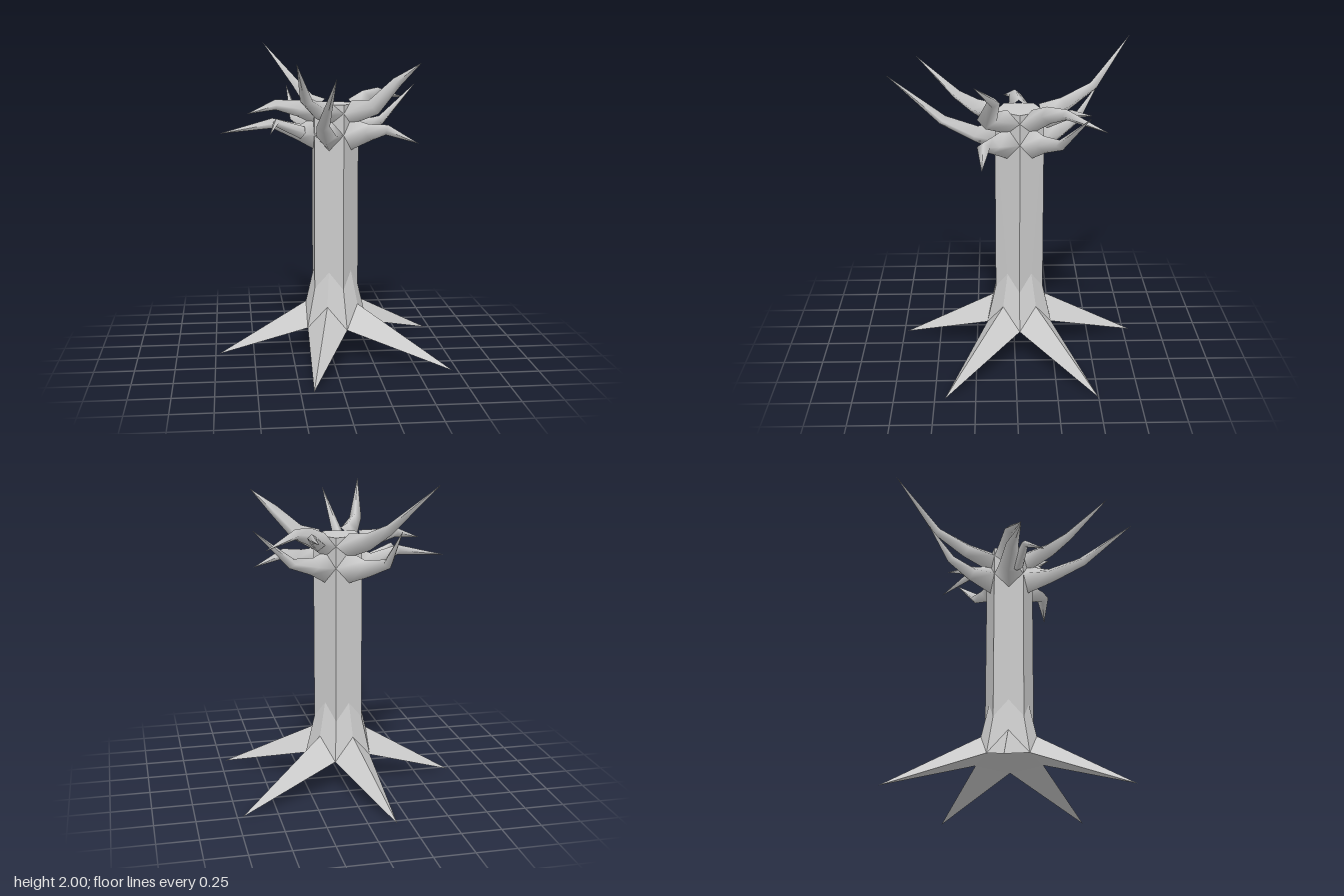
import * as THREE from 'three';

const CX = 0.02, CZ = -0.03;           // trunk axis
const FACE = Math.PI * 2 / 5;
const polar = (a, r, y) => new THREE.Vector3(CX + r * Math.cos(a), y, CZ + r * Math.sin(a));
const material = new THREE.MeshStandardMaterial({ color: 0xcccccc });
const flatMaterial = new THREE.MeshStandardMaterial({ color: 0xcccccc, flatShading: true });

// flat-shaded mesh from a list of triangles
function facets(name, tris) {
  const geo = new THREE.BufferGeometry().setFromPoints(tris.flat());
  geo.computeVertexNormals();
  const mesh = new THREE.Mesh(geo, flatMaterial);
  mesh.name = name;
  return mesh;
}

// tapering four-sided limb through rings of {p, side, up}; the last ring shrinks to a point
function limb(name, rings) {
  const pos = [], index = [];
  for (const { p, side, up } of rings) {
    for (let k = 0; k < 4; k++) {
      const a = k * Math.PI / 2;
      const v = p.clone().addScaledVector(side, Math.cos(a)).addScaledVector(up, Math.sin(a));
      pos.push(v.x, v.y, v.z);
    }
  }
  for (let i = 0; i < rings.length - 1; i++) {
    for (let k = 0; k < 4; k++) {
      const a = i * 4 + k, b = i * 4 + (k + 1) % 4;
      index.push(a, a + 4, b + 4, a, b + 4, b);
    }
  }
  const geo = new THREE.BufferGeometry();
  geo.setAttribute('position', new THREE.Float32BufferAttribute(pos, 3));
  geo.setIndex(index);
  geo.computeVertexNormals();
  const mesh = new THREE.Mesh(geo, material);
  mesh.name = name;
  return mesh;
}

// ring across direction d with half width w and half height h
function ring(p, d, w, h) {
  const dir = d.clone().normalize();
  const side = new THREE.Vector3().crossVectors(dir, new THREE.Vector3(0, 1, 0)).normalize();
  const up = new THREE.Vector3().crossVectors(side, dir);
  return { p, side: side.multiplyScalar(w), up: up.multiplyScalar(h) };
}

// limb along a path, with half sizes [w, h] at each point
function limbAlong(name, path, sizes, startDir) {
  return limb(name, path.map((p, i) => {
    const d = i === 0 && startDir ? startDir
      : path[Math.min(i + 1, path.length - 1)].clone().sub(path[Math.max(i - 1, 0)]);
    return ring(p, d, ...sizes[i]);
  }));
}

// branch that grows out of a whole trunk face
function branch(name, face, y, h, pts) {
  const a = (face + 0.5) * FACE;
  const path = [polar(a, 0.127, y), ...pts.map(p => new THREE.Vector3(...p))];
  return limbAlong(name, path, [[0.094, h], [0.062, 0.052], [0.04, 0.032], [0.001, 0.001]],
    new THREE.Vector3(Math.cos(a), 0, Math.sin(a)));
}

export function createModel() {
  const tree = new THREE.Group();
  tree.name = 'bareTree';

  // five-sided trunk flaring into pointed roots, one per face
  const tips = [[0.72, 0.44], [-0.17, 0.73], [-0.73, -0.035], [-0.17, -0.795], [0.72, -0.5]];
  const trunk = [], roots = [];
  tips.forEach(([x, z], i) => {
    const a0 = i * FACE, a1 = a0 + FACE, mid = a0 + FACE / 2;
    const top0 = polar(a0, 0.16, 1.63), top1 = polar(a1, 0.16, 1.63);
    const low0 = polar(a0, 0.16, 0.45), low1 = polar(a1, 0.16, 0.45);
    const valley0 = polar(a0, 0.22, 0.2), valley1 = polar(a1, 0.22, 0.2);
    const apex = polar(mid, 0.13, 0.56), ridge = polar(mid, 0.18, 0.345);
    const tip = new THREE.Vector3(x, 0, z);
    trunk.push(
      [apex, low0, top0], [apex, top0, top1], [apex, top1, low1],
      [polar(0, 0, 1.63), top1, top0]);
    roots.push(
      [valley0, low0, apex], [valley0, apex, ridge],
      [ridge, apex, low1], [ridge, low1, valley1],
      [tip, valley0, ridge], [tip, ridge, valley1],
      [tip, valley1, valley0], [polar(0, 0, 0.2), valley0, valley1]);
  });
  tree.add(facets('trunk', trunk), facets('roots', roots));

  // two tiers of branches: face 0 front left, then front, right, back right, back left
  const upper = [
    [[0.25, 1.62, 0.17], [0.40, 1.77, 0.13], [0.53, 1.89, 0.24]],
    [[-0.11, 1.61, 0.24], [-0.18, 1.67, 0.36], [-0.255, 1.9, 0.615]],
    [[-0.2, 1.6, -0.03], [-0.35, 1.625, -0.01], [-0.525, 1.575, 0.06]],
    [[-0.1, 1.62, -0.31], [-0.18, 1.72, -0.5], [-0.4, 2.0, -0.75]],
    [[0.24, 1.65, -0.2], [0.34, 1.68, -0.3], [0.55, 1.63, -0.525]],
  ];
  const lower = [
    [[0.23, 1.46, 0.14], [0.33, 1.48, 0.19], [0.525, 1.395, 0.2]],
    [[-0.05, 1.45, 0.24], [-0.09, 1.53, 0.45], [-0.045, 1.825, 0.785]],
    [[-0.2, 1.45, -0.03], [-0.37, 1.51, 0.0], [-0.695, 1.455, 0.06]],
    [[-0.1, 1.45, -0.28], [-0.2, 1.5, -0.4], [-0.25, 1.715, -0.54]],
    [[0.22, 1.46, -0.18], [0.36, 1.5, -0.27], [0.61, 1.73, -0.42]],
  ];
  upper.forEach((pts, i) => tree.add(branch('upperBranch', i, 1.575, 0.075, pts)));
  lower.forEach((pts, i) => tree.add(branch('lowerBranch', i, 1.44, 0.1, pts)));

  // hooked twigs that fork off two branches
  const twigs = [
    [[-0.18, 1.45, 0.02], [-0.35, 1.52, 0.08], [-0.39, 1.46, 0.2]],
    [[0.18, 1.59, -0.18], [0.25, 1.66, -0.34], [0.23, 1.64, -0.46]],
  ];
  for (const pts of twigs) {
    tree.add(limbAlong('twig', pts.map(p => new THREE.Vector3(...p)),
      [[0.045, 0.04], [0.026, 0.025], [0.001, 0.001]]));
  }
  return tree;
}
